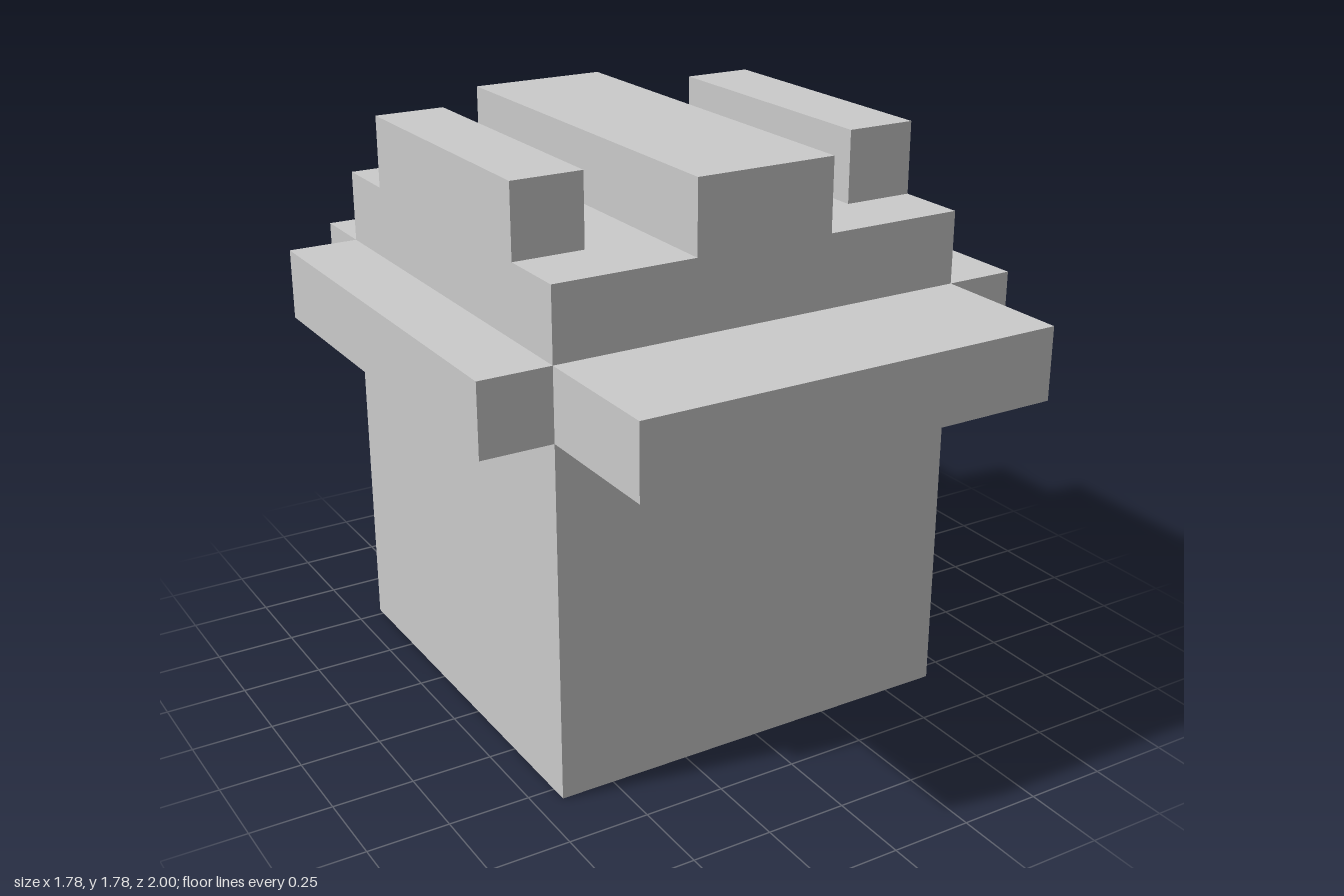
import * as THREE from 'three';

const U = 2 / 9; // the model sits on a grid of nine units to its longest side

export function createModel() {
  const group = new THREE.Group();
  const material = new THREE.MeshStandardMaterial({ color: 0xcccccc, flatShading: true });

  // Box spanning two opposite corners, given in grid units
  const block = (name, [x0, y0, z0], [x1, y1, z1]) => {
    const geometry = new THREE.BoxGeometry((x1 - x0) * U, (y1 - y0) * U, (z1 - z0) * U);
    const mesh = new THREE.Mesh(geometry, material);
    mesh.name = name;
    mesh.position.set((x0 + x1) / 2 * U, (y0 + y1) / 2 * U, (z0 + z1) / 2 * U);
    group.add(mesh);
  };

  // Main body and the wide ridge along its top
  block('body', [-3, 0, -3.5], [3, 7, 2.5]);
  block('centreRidge', [-1, 7, -3.5], [1, 8, 2.5]);

  // Brim: deep at the front, shallow at the back
  block('frontBrim', [-3, 5, 2.5], [3, 6, 4.5]);
  block('backBrim', [-3, 5, -4.5], [3, 6, -3.5]);

  // Mirrored side brims and short top ridges
  for (const [side, s] of [['left', 1], ['right', -1]]) {
    const span = (a, b) => (s > 0 ? [a, b] : [-b, -a]);
    const [b0, b1] = span(3, 4);
    block(side + 'Brim', [b0, 5, -3.5], [b1, 6, 2.5]);
    const [r0, r1] = span(2, 3);
    block(side + 'Ridge', [r0, 7, -2.5], [r1, 8, 1.5]);
  }

  return group;
}
